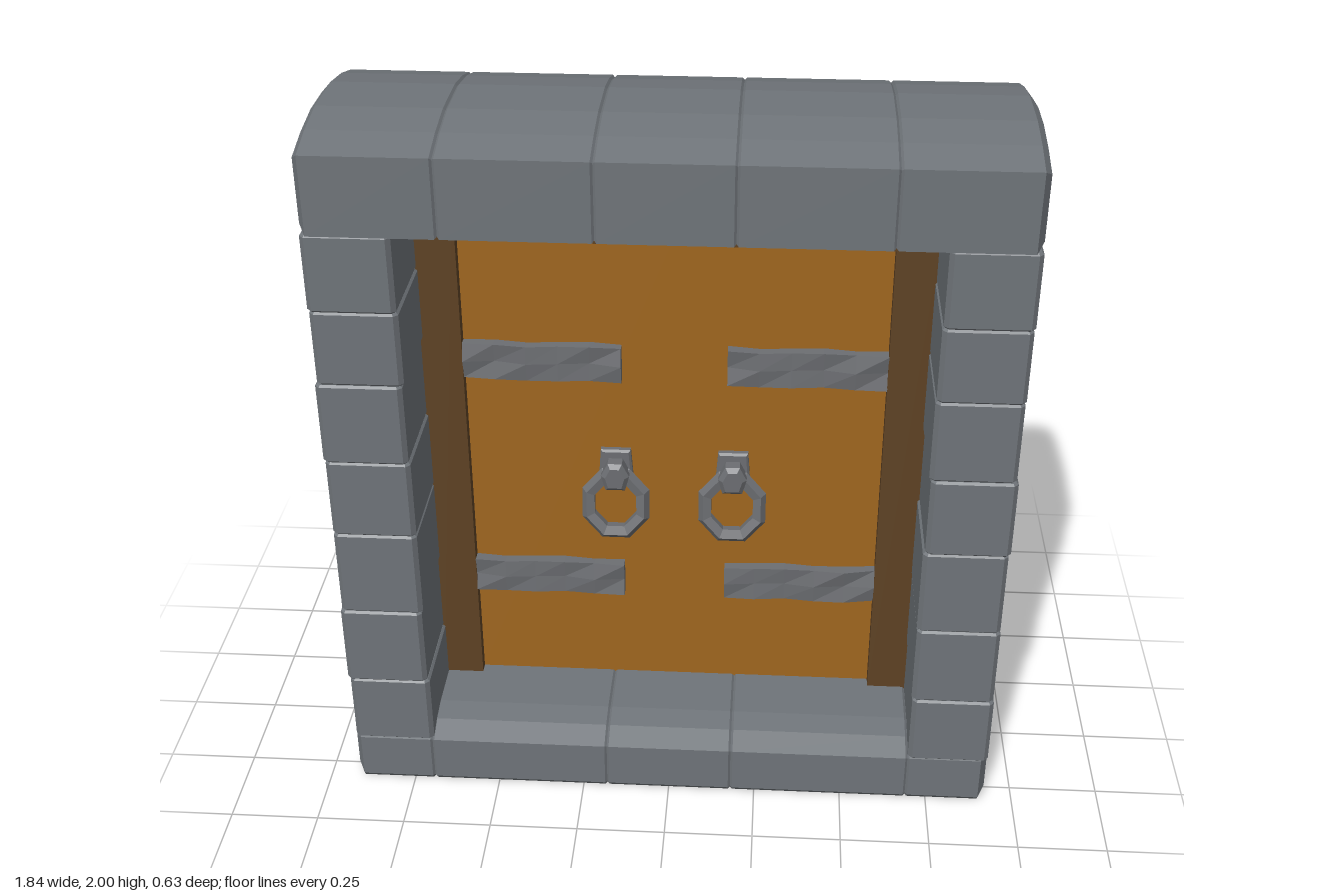
import * as THREE from 'three';

const mat = (name, color) => {
  const m = new THREE.MeshStandardMaterial({ color });
  m.name = name;
  return m;
};

export function createModel() {
  const stone = mat('stone grey', 0x6f7479);
  const iron = mat('iron grey', 0x6c6e72);
  const wood = mat('door wood', 0xa0661f);
  const darkWood = mat('dark frame wood', 0x5e4224);
  const model = new THREE.Group();
  model.name = 'stoneDoorway';

  const add = (parent, name, geo, material, x = 0, y = 0, z = 0) => {
    const m = new THREE.Mesh(geo, material);
    m.name = name;
    m.position.set(x, y, z);
    parent.add(m);
    return m;
  };

  // Convex profile extruded to an exact length with chamfered ends
  const block = (points, length, b = 0.006) => {
    const shape = new THREE.Shape(points.map(([x, y]) => new THREE.Vector2(x, y)));
    return new THREE.ExtrudeGeometry(shape, {
      depth: length - 2 * b, bevelEnabled: true, bevelSegments: 1,
      bevelSize: b, bevelThickness: b, bevelOffset: -b,
    }).translate(0, 0, b);
  };

  // Horizontal course of blocks along x, with a wider chamfer at the outer ends
  const course = (name, seams, points, midY) => {
    const g = new THREE.Group();
    g.name = name;
    for (let i = 0; i < seams.length - 1; i++) {
      const geo = block(points, seams[i + 1] - seams[i]).rotateY(Math.PI / 2).translate(seams[i], 0, 0);
      const p = geo.attributes.position;
      for (let k = 0; k < p.count; k++) {
        const x = p.getX(k), y = p.getY(k), z = p.getZ(k), s = Math.sign(x);
        if (Math.abs(x) > 0.918) {
          p.setY(k, y - Math.sign(y - midY) * 0.014);
          p.setZ(k, z - Math.sign(z) * 0.03);
        } else if (Math.abs(x) > 0.905) p.setX(k, s * 0.9);
      }
      geo.computeVertexNormals();
      add(g, name + 'Block', geo, stone);
    }
    model.add(g);
  };

  const D = 0.315;
  course('lintel', [-0.92, -0.57, -0.18, 0.17, 0.56, 0.92], [
    [-D, 1.742], [D, 1.742], [D, 1.955], [0.21, 1.982], [0.09, 2],
    [-0.09, 2], [-0.21, 1.982], [-D, 1.955],
  ], 1.87);
  course('sill', [-0.92, -0.69, -0.18, 0.18, 0.69, 0.92], [
    [-D + 0.012, 0], [D - 0.012, 0], [D, 0.015], [D, 0.15], [0.25, 0.178], [0.18, 0.19],
    [-0.18, 0.19], [-0.25, 0.178], [-D, 0.15], [-D, 0.015],
  ], 0.09);

  // Side columns: stacked blocks, slightly uneven
  const rows = [0.148, 0.36, 0.6, 0.855, 1.085, 1.32, 1.53, 1.744];
  for (const s of [-1, 1]) {
    const g = new THREE.Group();
    g.name = s > 0 ? 'leftColumn' : 'rightColumn';
    for (let i = 0; i < rows.length - 1; i++) {
      const w = 0.003 * Math.sin(i * 2.3 + s);
      const a = 0.688 + w, o = 0.917 + w, c = 0.012, d = D - 0.002 + w / 2;
      const pts = [[a + c, -d], [o - c, -d], [o, -d + c], [o, d - c],
        [o - c, d], [a + c, d], [a, d - c], [a, -d + c]].map(([x, z]) => [s * x, z]);
      if (s < 0) pts.reverse();
      add(g, 'columnBlock', block(pts, rows[i + 1] - rows[i]).rotateX(-Math.PI / 2), stone, 0, rows[i], 0);
    }
    model.add(g);
  }

  // Wooden frame and the two door leaves, set behind the middle of the arch
  const midZ = -0.068;
  for (const s of [-1, 1]) {
    add(model, s > 0 ? 'leftJamb' : 'rightJamb', new THREE.BoxGeometry(0.12, 1.58, 0.205), darkWood, s * 0.64, 0.96, midZ);
    add(model, s > 0 ? 'leftDoorLeaf' : 'rightDoorLeaf', new THREE.BoxGeometry(0.59, 1.46, 0.14), wood, s * 0.295, 0.895, midZ);
  }
  add(model, 'frameHead', new THREE.BoxGeometry(1.38, 0.135, 0.205), darkWood, 0, 1.6825, midZ);

  // Hammered strap: uneven front surface and edges
  const strap = (seed) => {
    const geo = new THREE.BoxGeometry(0.435, 0.105, 0.04, 5, 2, 1).toNonIndexed();
    const p = geo.attributes.position;
    for (let k = 0; k < p.count; k++) {
      const x = p.getX(k), y = p.getY(k), n = Math.sin(x * 41 + y * 67 + seed * 1.7);
      if (p.getZ(k) > 0) p.setZ(k, 0.018 + n * 0.006);
      p.setY(k, y + Math.sin(x * 23 + seed) * 0.004);
    }
    geo.computeVertexNormals();
    return geo;
  };

  // Ironwork for one face of the door
  const ironwork = (name) => {
    const g = new THREE.Group();
    g.name = name;
    for (const s of [-1, 1]) {
      [1.252, 0.545].forEach((y, i) => add(g, 'hingeStrap', strap(i * 2 + s), iron, s * 0.363, y, 0.012));
      const knocker = new THREE.Group();
      knocker.name = 'ringHandle';
      knocker.position.set(s * 0.165, 0, 0);
      add(knocker, 'handlePlate', block([[-0.05, 0.87], [0.05, 0.87], [0.042, 0.98], [-0.042, 0.98]], 0.026), iron);
      add(knocker, 'handleLug', block([[-0.028, 0.87], [0.028, 0.87], [0.04, 0.915], [0.02, 0.955], [-0.02, 0.955], [-0.04, 0.915]], 0.07, 0.012), iron);
      const ringGeo = new THREE.TorusGeometry(0.079, 0.021, 5, 8).rotateZ(Math.PI / 8).scale(1.03, 1.17, 1).toNonIndexed();
      ringGeo.computeVertexNormals();
      const ring = add(knocker, 'ring', ringGeo, iron, 0, 0.818, 0.044);
      ring.rotation.x = -0.12;
      g.add(knocker);
    }
    model.add(g);
    return g;
  };
  ironwork('frontIronwork').position.z = 0.002;
  const back = ironwork('backIronwork');
  back.position.z = -0.138;
  back.rotation.y = Math.PI;

  return model;
}
